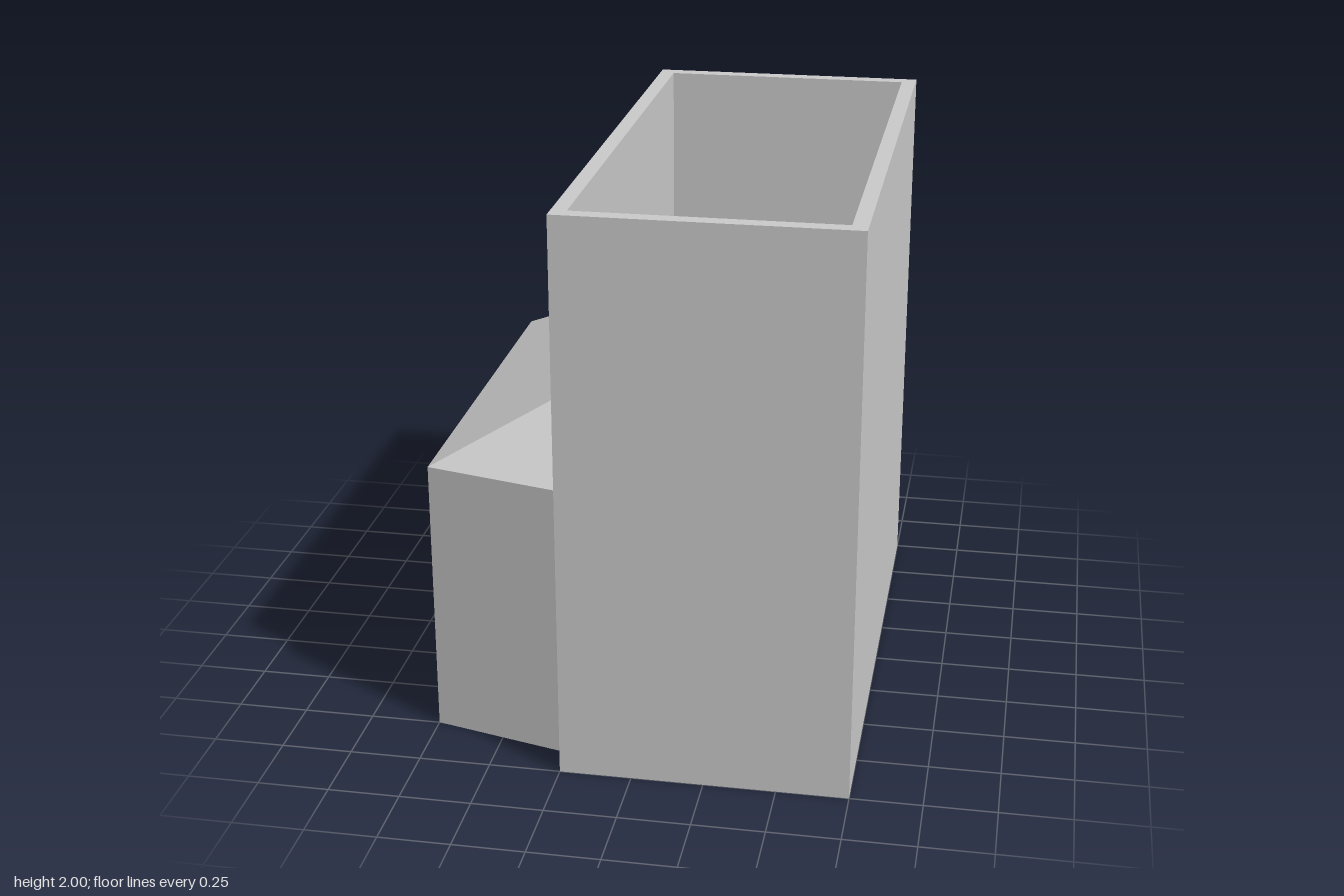
import * as THREE from 'three';

// Rectangle of corners at height y, counter-clockwise seen from above
const rect = (x0, x1, z, y) => [[x0, y, z], [x1, y, z], [x1, y, -z], [x0, y, -z]];

// Flat-faced skin through four-cornered rings, closed at both ends
function loft(rings, bottom = rings[0]) {
  const positions = [];
  const tri = (...corners) => {
    const [a, b, c] = corners.map((p) => new THREE.Vector3(...p));
    if (new THREE.Triangle(a, b, c).getArea() > 1e-6) positions.push(...corners.flat());
  };
  const quad = (a, b, c, d) => { tri(a, b, c); tri(a, c, d); };

  quad(...[...bottom].reverse());
  for (let r = 0; r < rings.length - 1; r++) {
    for (let i = 0; i < 4; i++) {
      const j = (i + 1) % 4;
      quad(rings[r][i], rings[r][j], rings[r + 1][j], rings[r + 1][i]);
    }
  }
  quad(...rings[rings.length - 1]);

  const geometry = new THREE.BufferGeometry();
  geometry.setAttribute('position', new THREE.Float32BufferAttribute(positions, 3));
  geometry.computeVertexNormals();
  return geometry;
}

export function createModel() {
  const group = new THREE.Group();
  const add = (name, geometry, side) => {
    const material = new THREE.MeshStandardMaterial({ color: 0xcccccc, flatShading: true, side });
    const mesh = new THREE.Mesh(geometry, material);
    mesh.name = name;
    group.add(mesh);
  };

  // Tall box, open at the top, with thin walls and floor
  const t = 0.053;
  const x0 = -0.25, x1 = 0.75;
  add('hollowTower', loft([
    rect(x0, x1, 1, 0),
    rect(x0, x1, 1, 2),
    rect(x0 + t, x1 - t, 1 - t, 2),
    rect(x0 + t, x1 - t, 1 - t, t),
  ]), THREE.FrontSide);

  // Tapered bay against the tower, with a hipped lean-to roof
  const bayRing = (wallZ, wallY, outerY) => [
    [x0, wallY, wallZ], [x0, wallY, -wallZ], [-0.75, outerY, -0.75], [-0.75, outerY, 0.75],
  ];
  // The base is a plain rectangle, leaving narrow gaps under the flared ends
  add('sideBay', loft([
    bayRing(0.875, 0, 0),
    bayRing(0.875, 1, 1),
    bayRing(0.5, 1.25, 1),
  ], bayRing(0.75, 0, 0)), THREE.DoubleSide);

  return group;
}
